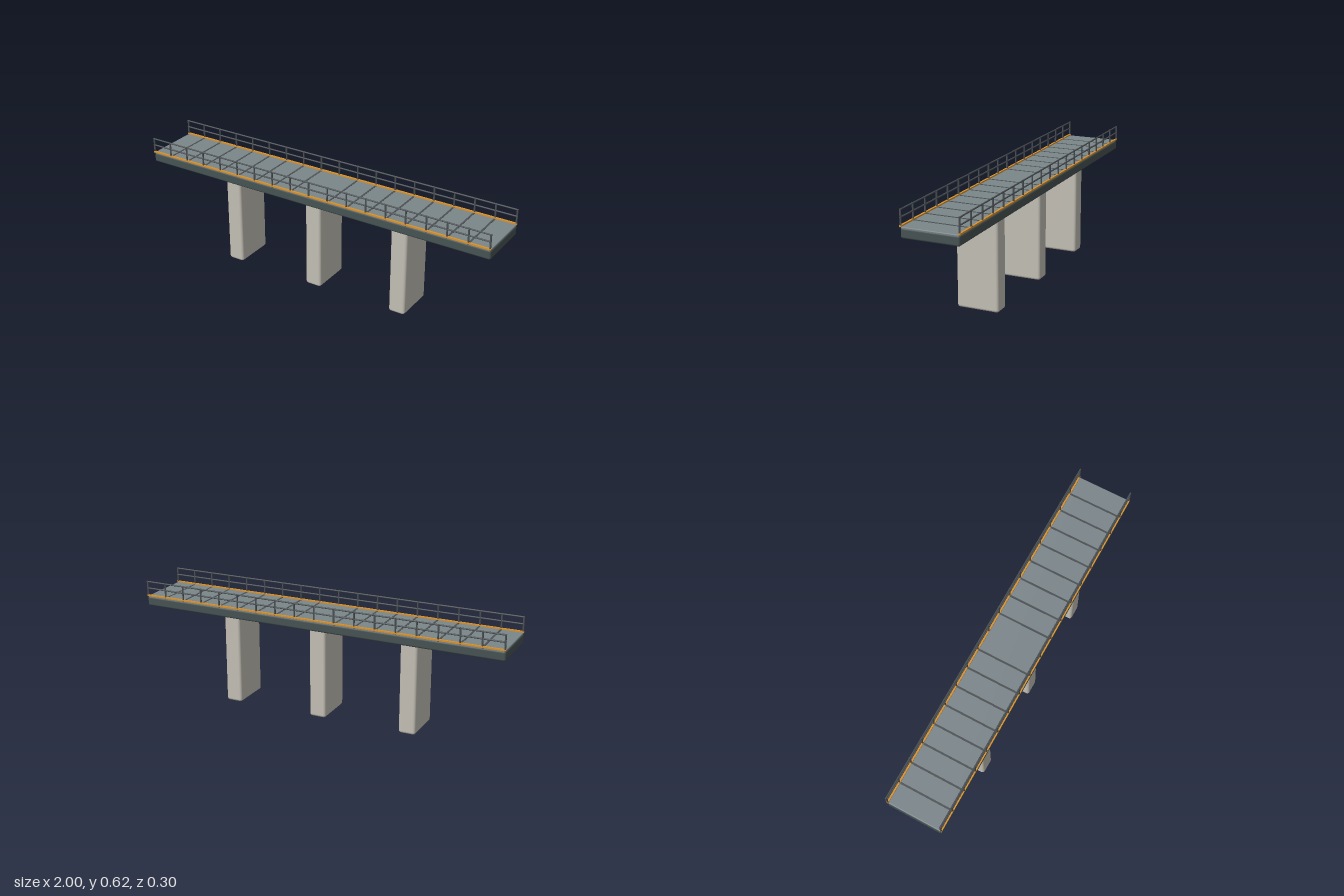
import * as THREE from 'three';
import { RoundedBoxGeometry } from 'three/addons/geometries/RoundedBoxGeometry.js';

const material = (name, color) => {
  const m = new THREE.MeshStandardMaterial({ color });
  m.name = name;
  return m;
};

export function createModel() {
  const concrete = material('pierConcrete', 0xc2beb4);
  const girder = material('girderSteel', 0x465252);
  const paving = material('paving', 0x7b868a);
  const railing = material('railingSteel', 0x4c5154);
  const amber = material('amberTrim', 0xd8922e);

  const bridge = new THREE.Group();
  bridge.name = 'bridge';

  const add = (parent, name, geometry, mat, x, y, z) => {
    const mesh = new THREE.Mesh(geometry, mat);
    mesh.name = name;
    mesh.position.set(x, y, z);
    parent.add(mesh);
    return mesh;
  };

  // Girder and the paved surface on it
  add(bridge, 'girder', new RoundedBoxGeometry(2, 0.051, 0.296, 3, 0.01), girder, 0, 0.5075, 0);
  add(bridge, 'paving', new RoundedBoxGeometry(1.996, 0.01, 0.29, 2, 0.004), paving, 0, 0.532, 0);

  // Piers
  const pierGeometry = new RoundedBoxGeometry(0.09, 0.5, 0.222, 4, 0.014);
  for (const x of [-0.5, 0, 0.5]) add(bridge, 'pier', pierGeometry, concrete, x, 0.25, 0);

  // Joints between the paving slabs, in line with the railing posts; none at midspan
  const bays = 18;
  const postX = (i) => -0.9955 + (1.991 * i) / bays;
  const jointGeometry = new THREE.BoxGeometry(0.01, 0.004, 0.286);
  for (let i = 1; i < bays; i++) {
    if (i !== bays / 2) add(bridge, 'slabJoint', jointGeometry, railing, postX(i), 0.536, 0);
  }

  // Railings of round bars, with an amber strip along the foot
  const postGeometry = new THREE.CylinderGeometry(0.0045, 0.0045, 0.086, 10);
  const railGeometry = new THREE.CylinderGeometry(0.004, 0.004, 2, 10).rotateZ(Math.PI / 2);
  const stripGeometry = new THREE.BoxGeometry(2, 0.008, 0.0105);
  for (const side of [1, -1]) {
    const rail = new THREE.Group();
    rail.name = side > 0 ? 'frontRailing' : 'backRailing';
    rail.position.z = side * 0.1465;
    bridge.add(rail);
    for (let i = 0; i <= bays; i++) add(rail, 'post', postGeometry, railing, postX(i), 0.576, 0);
    add(rail, 'topRail', railGeometry, railing, 0, 0.616, 0);
    add(rail, 'middleRail', railGeometry, railing, 0, 0.58, 0);
    add(rail, 'footStrip', stripGeometry, amber, 0, 0.54, 0);
  }
  return bridge;
}
